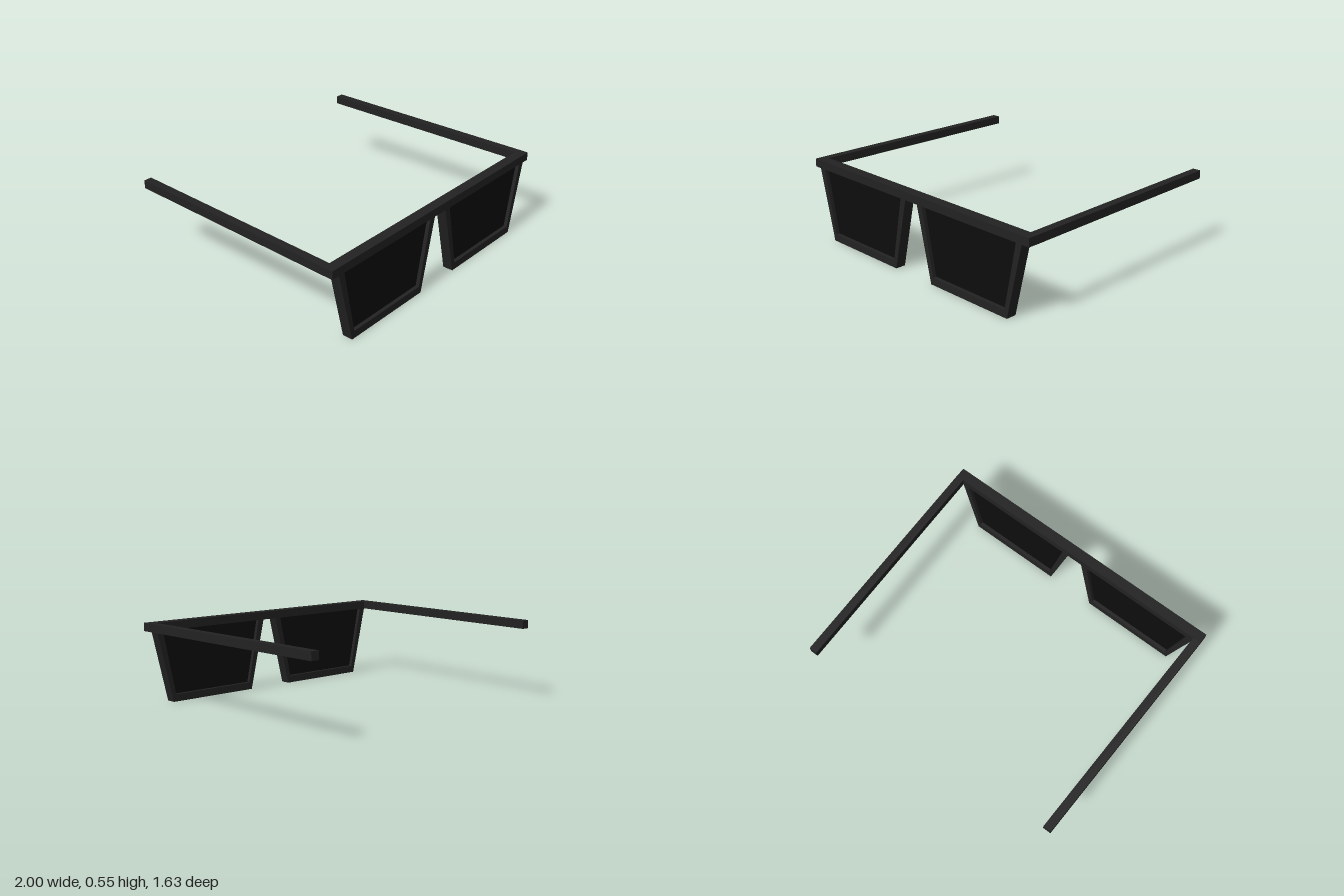
import * as THREE from 'three';

const frameMat = new THREE.MeshStandardMaterial({ color: 0x222222, flatShading: true });
const lensMat = new THREE.MeshStandardMaterial({ color: 0x0d0d0d, flatShading: true });

const BAR_BOTTOM = 0.49, TOP = 0.545;
const BACK = 0.745, FRONT = 0.815, REAR_END = -0.815;

// Extrudes a polygon, mirrored in x for side = -1
function prism(name, points, side, depth, material) {
  const shape = new THREE.Shape(points.map(([x, y]) => new THREE.Vector2(x * side, y)));
  const geometry = new THREE.ExtrudeGeometry(shape, { depth, bevelEnabled: false });
  const mesh = new THREE.Mesh(geometry, material);
  mesh.name = name;
  return mesh;
}

export function createModel() {
  const group = new THREE.Group();
  group.name = 'sunglasses';

  // Straight bar across the brow
  const bar = new THREE.Mesh(new THREE.BoxGeometry(2, TOP - BAR_BOTTOM, FRONT - BACK), frameMat);
  bar.name = 'browBar';
  bar.position.set(0, (TOP + BAR_BOTTOM) / 2, (FRONT + BACK) / 2);
  group.add(bar);

  for (const [side, label] of [[1, 'left'], [-1, 'right']]) {
    // U-shaped rim hanging from the bar
    const rim = prism(label + 'Rim', [
      [0.055, BAR_BOTTOM], [0.17, 0], [0.83, 0], [0.945, BAR_BOTTOM],
      [0.9, BAR_BOTTOM], [0.81, 0.05], [0.19, 0.05], [0.1, BAR_BOTTOM],
    ], side, FRONT - BACK, frameMat);
    rim.position.z = BACK;

    // Dark lens set in the middle of the rim
    const lens = prism(label + 'Lens', [
      [0.1, BAR_BOTTOM], [0.19, 0.05], [0.81, 0.05], [0.9, BAR_BOTTOM],
    ], side, 0.02, lensMat);
    lens.position.z = (FRONT + BACK) / 2 - 0.01;

    // Temple arm, leaning inward toward the rear
    const arm = prism(label + 'Arm', [
      [0.945, -BACK], [1, -BACK], [0.965, -REAR_END], [0.91, -REAR_END],
    ], side, TOP - BAR_BOTTOM, frameMat);
    arm.rotation.x = -Math.PI / 2;
    arm.position.y = BAR_BOTTOM;

    group.add(rim, lens, arm);
  }
  return group;
}
